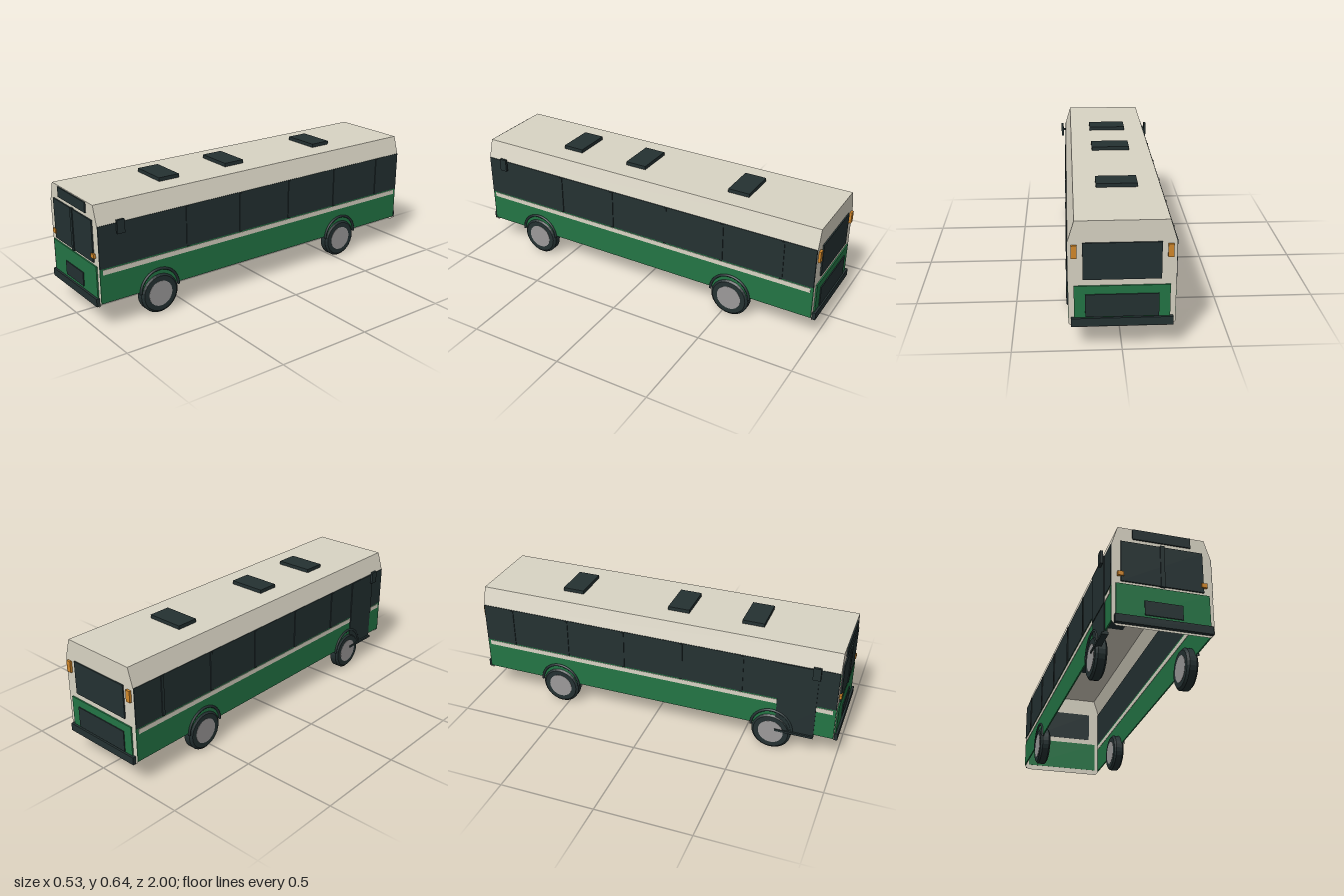
import * as THREE from 'three';

export function createModel() {
  const bus = new THREE.Group();
  bus.name = 'bus';
  const mat = (name, color) => {
    const m = new THREE.MeshStandardMaterial({ color });
    m.name = name;
    return m;
  };
  const cream = mat('cream', 0xd9d4c4);
  cream.side = THREE.DoubleSide;
  const green = mat('green', 0x237545);
  const dark = mat('dark', 0x243132);
  const orange = mat('orange', 0xd2882a);
  const grey = mat('grey', 0x9c9a9a);

  const add = (name, geometry, material, parent = bus) => {
    const mesh = new THREE.Mesh(geometry, material);
    mesh.name = name;
    parent.add(mesh);
    return mesh;
  };
  // box given by its limits on each axis
  const box = (name, material, [x0, x1], [y0, y1], [z0, z1], parent = bus) => {
    const m = add(name, new THREE.BoxGeometry(x1 - x0, y1 - y0, z1 - z0), material, parent);
    m.position.set((x0 + x1) / 2, (y0 + y1) / 2, (z0 + z1) / 2);
    return m;
  };
  const END = 0.982;

  // end walls
  const section = [[-0.22, 0.11], [0.22, 0.11], [0.24, 0.13], [0.24, 0.525],
    [0.21, 0.622], [-0.21, 0.622], [-0.24, 0.525], [-0.24, 0.13]];
  const wallShape = new THREE.Shape(section.map(([x, y]) => new THREE.Vector2(x, y)));
  add('frontWall', new THREE.ShapeGeometry(wallShape), cream).position.z = END;
  const rearWall = add('rearWall', new THREE.ShapeGeometry(wallShape), cream);
  rearWall.rotation.y = Math.PI;
  rearWall.position.z = -END;

  // roof with sloping shoulders, open below
  const roofPositions = [];
  for (let i = 3; i < 6; i++) {
    const [ax, ay] = section[i], [bx, by] = section[i + 1];
    roofPositions.push(ax, ay, END, ax, ay, -END, bx, by, -END,
      ax, ay, END, bx, by, -END, bx, by, END);
  }
  const roof = new THREE.BufferGeometry();
  roof.setAttribute('position', new THREE.Float32BufferAttribute(roofPositions, 3));
  roof.computeVertexNormals();
  add('roof', roof, cream);

  // roof hatches
  for (const z of [0.5, 0.1, -0.5]) {
    box('roofHatch', dark, [-0.1, 0.1], [0.62, 0.641], [z - 0.058, z + 0.058]);
  }

  // sides: lower panel, stripe, window band, pillars, mirrors
  for (const s of [1, -1]) {
    const side = new THREE.Group();
    side.name = s > 0 ? 'leftSide' : 'rightSide';
    bus.add(side);
    const sx = (a, b) => (s > 0 ? [a, b] : [-b, -a]);
    box('lowerPanel', green, sx(0.234, 0.241), [0.135, 0.315], [-0.98, 0.98], side);
    box('stripe', cream, sx(0.232, 0.243), [0.28, 0.305], [-0.965, 0.965], side);
    box('windowBand', dark, sx(0.234, 0.243), [0.312, 0.525], [-0.98, 0.98], side);
    for (let i = 0; i < 5; i++) {
      const z = 0.49 - 0.325 * i;
      box('windowPillar', dark, sx(0.24, 0.247), [0.312, 0.522], [z - 0.008, z + 0.008], side);
    }
    box('mirrorArm', dark, sx(0.236, 0.256), [0.507, 0.517], [0.865, 0.875], side);
    box('mirror', dark, sx(0.253, 0.266), [0.477, 0.545], [0.85, 0.89], side);
  }

  // passenger door and step
  box('doorLower', dark, [-0.245, -0.23], [0.125, 0.28], [0.68, 0.88]);
  box('doorGlass', dark, [-0.248, -0.232], [0.275, 0.525], [0.68, 0.88]);
  box('doorStep', dark, [-0.255, -0.225], [0.116, 0.128], [0.68, 0.88]);

  // front details
  const F = [END - 0.001, 0.989], F2 = [END, 0.994];
  box('destinationSign', dark, [-0.14, 0.14], [0.566, 0.618], F);
  box('windscreen', dark, [-0.197, 0.197], [0.336, 0.546], F);
  box('windscreenDivider', dark, [-0.01, 0.01], [0.332, 0.55], F2);
  box('frontPanel', green, [-0.222, 0.222], [0.14, 0.322], F);
  box('frontGrille', dark, [-0.09, 0.09], [0.176, 0.248], F2);
  box('frontBumper', dark, [-0.229, 0.229], [0.121, 0.161], [END, 1]);

  // rear details
  const R = [-0.989, -END + 0.001], R2 = [-0.994, -END];
  box('rearWindow', dark, [-0.175, 0.175], [0.345, 0.52], R);
  box('rearPanel', green, [-0.215, 0.215], [0.14, 0.315], R);
  box('rearGrille', dark, [-0.165, 0.165], [0.165, 0.275], R2);
  box('rearBumper', dark, [-0.229, 0.229], [0.121, 0.161], [-1, -END]);

  for (const s of [1, -1]) {
    box('frontIndicator', orange, [s * 0.199 - 0.014, s * 0.199 + 0.014], [0.361, 0.383], F2);
    box('rearLight', orange, [s * 0.213 - 0.013, s * 0.213 + 0.013], [0.45, 0.51], R2);
  }

  // wheels with bevelled tyres, through hubs and raised arches
  const tyreProfile = [[0.06, -0.028], [0.092, -0.028], [0.104, -0.018],
    [0.104, 0.018], [0.092, 0.028], [0.06, 0.028]].map(([r, y]) => new THREE.Vector2(r, y));
  const tyre = new THREE.LatheGeometry(tyreProfile, 28).toNonIndexed();
  tyre.computeVertexNormals();
  tyre.rotateZ(Math.PI / 2);
  const hub = new THREE.CylinderGeometry(0.066, 0.066, 0.059, 28).rotateZ(Math.PI / 2);
  const arch = new THREE.TorusGeometry(0.108, 0.007, 8, 28, Math.PI).rotateY(Math.PI / 2);
  for (const s of [1, -1]) {
    for (const z of [0.66, -0.54]) {
      const wheel = new THREE.Group();
      wheel.name = 'wheel';
      wheel.position.set(s * 0.221, 0.104, z);
      bus.add(wheel);
      add('tyre', tyre, dark, wheel);
      add('hub', hub, grey, wheel);
      add('wheelArch', arch, dark).position.set(s * 0.243, 0.125, z);
    }
  }
  return bus;
}
